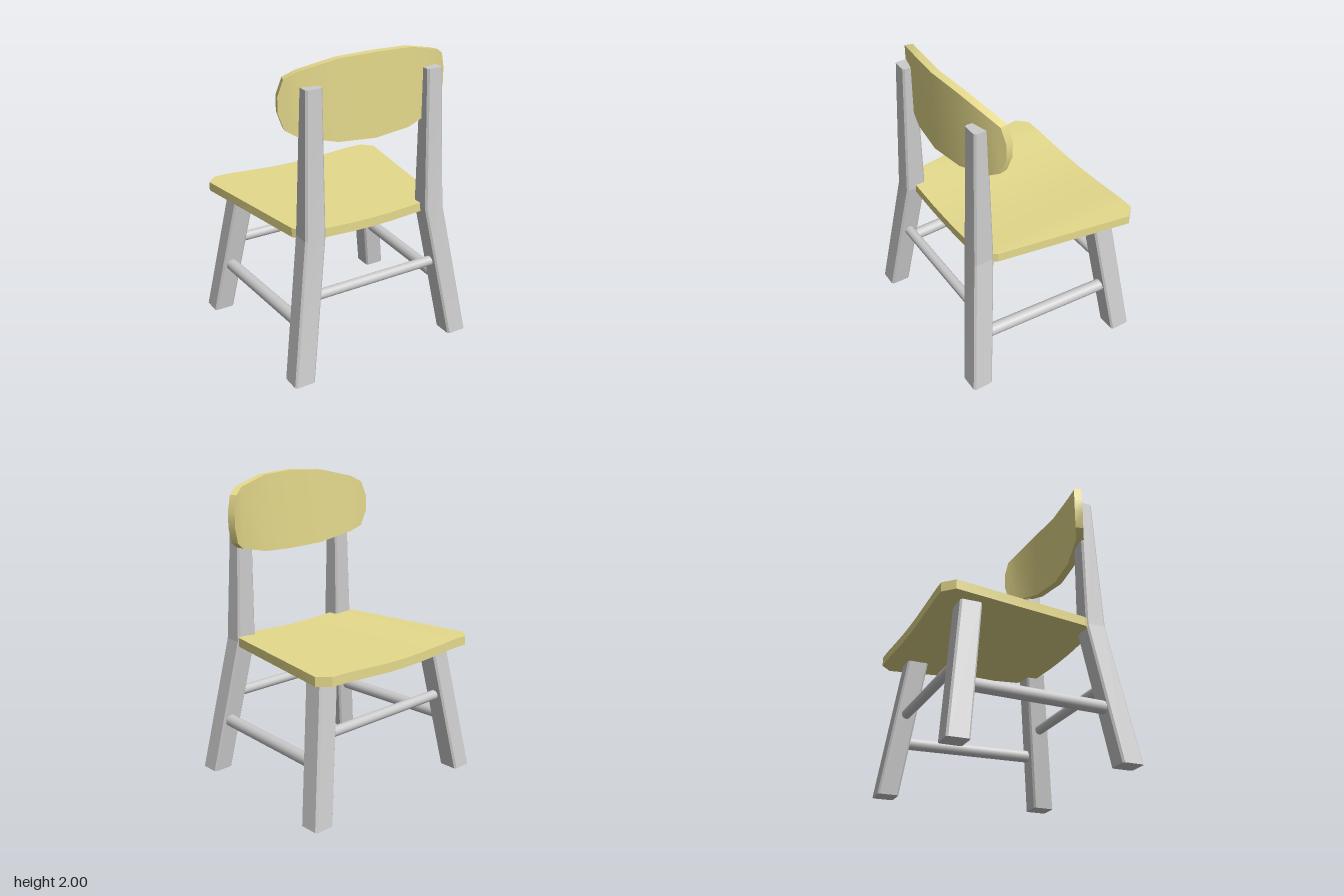
import * as THREE from 'three';
import { toCreasedNormals } from 'three/addons/utils/BufferGeometryUtils.js';

const grey = new THREE.MeshStandardMaterial({ color: 0xcccccc });
const wood = new THREE.MeshStandardMaterial({ color: 0xe6da8c });

// Skin a row of closed rings; each ring runs counter-clockwise seen from the far end.
function loft(rings, crease) {
  const pos = [];
  const tri = (...pts) => pts.forEach((p) => pos.push(...p));
  const n = rings[0].length;
  for (let r = 0; r < rings.length - 1; r++) {
    const a = rings[r], b = rings[r + 1];
    for (let i = 0; i < n; i++) {
      const j = (i + 1) % n;
      tri(a[i], a[j], b[j]);
      tri(a[i], b[j], b[i]);
    }
  }
  const first = rings[0], last = rings[rings.length - 1];
  for (let i = 1; i < n - 1; i++) {
    tri(first[0], first[i + 1], first[i]);
    tri(last[0], last[i], last[i + 1]);
  }
  const geo = new THREE.BufferGeometry();
  geo.setAttribute('position', new THREE.Float32BufferAttribute(pos, 3));
  return toCreasedNormals(geo, crease);
}

// Horizontal leg section with softened corners
function legRing([x, y, z, w, d]) {
  const c = 0.012, u = w / 2, v = d / 2;
  return [[u, v - c], [u, c - v], [u - c, -v], [c - u, -v], [-u, c - v], [-u, v - c], [c - u, v], [u - c, v]]
    .map(([px, pz]) => [x + px, y, z + pz]);
}

// Mirror half a list of x stations (outermost last) into a full list, left to right
const bothSides = (half) => [
  ...half.slice(1).reverse().map(([x, ...rest]) => [-x, ...rest]),
  ...half,
];

export function createModel() {
  const group = new THREE.Group();
  const add = (name, geo, mat) => {
    const mesh = new THREE.Mesh(geo, mat);
    mesh.name = name;
    group.add(mesh);
    return mesh;
  };

  // Round rail between two points
  const rail = (name, a, b, radius) => {
    const from = new THREE.Vector3(...a), to = new THREE.Vector3(...b);
    const dir = to.clone().sub(from);
    const mesh = add(name, new THREE.CylinderGeometry(radius, radius, dir.length(), 16), grey);
    mesh.position.copy(from).add(to).multiplyScalar(0.5);
    mesh.quaternion.setFromUnitVectors(new THREE.Vector3(0, 1, 0), dir.normalize());
  };

  // Legs and side rails (the seat opens towards -z, the back posts stand at +z)
  for (const [side, s] of [['left', 1], ['right', -1]]) {
    const post = [[0.59, 0, 0.55, 0.14, 0.14], [0.44, 0.92, 0.437, 0.14, 0.135], [0.42, 1.84, 0.425, 0.11, 0.09]];
    const short = [[0.642, 0, -0.54, 0.14, 0.14], [0.492, 0.9, -0.42, 0.14, 0.14]];
    const build = (path) => loft(path.map(([x, ...rest]) => legRing([s * x, ...rest])), 0.1);
    add(side + 'BackPost', build(post), grey);
    add(side + 'SeatLeg', build(short), grey);
    rail(side + 'SideRail', [s * 0.59, 0.36, -0.48], [s * 0.543, 0.36, 0.5], 0.041);
  }

  // Cross rails
  rail('backRail', [-0.5, 0.53, 0.487], [0.5, 0.53, 0.487], 0.033);
  rail('frontRail', [-0.55, 0.53, -0.47], [0.55, 0.53, -0.47], 0.033);

  // Seat: stations of x, top height, front z, back z; dished across its width
  const seat = bothSides([
    [0, 0.932, -0.625, 0.44], [0.14, 0.934, -0.625, 0.44], [0.36, 0.946, -0.625, 0.44],
    [0.46, 0.953, -0.625, 0.44], [0.522, 0.955, -0.625, 0.35], [0.595, 0.955, -0.625, -0.112],
    [0.665, 0.955, -0.555, -0.55],
  ]);
  add('seat', loft(seat.map(([x, y, f, b]) => [
    [x, y - 0.06, f], [x, y, f], [x, y, b], [x, y - 0.06, b],
  ]), 0.4), wood);

  // Backrest: stations of x, half height, outer z; curved around the sitter
  const back = bothSides([
    [0, 0.263, 0.47], [0.25, 0.25, 0.445], [0.487, 0.194, 0.39], [0.555, 0.152, 0.352], [0.587, 0.05, 0.335],
  ]);
  add('backrest', loft(back.map(([x, h, z]) => {
    const y = 1.737, inX = x * 0.975, inZ = z - 0.05;
    return [[inX, y - h, inZ], [inX, y + h, inZ], [x, y + h, z], [x, y - h, z]];
  }), 0.4), wood);

  return group;
}
